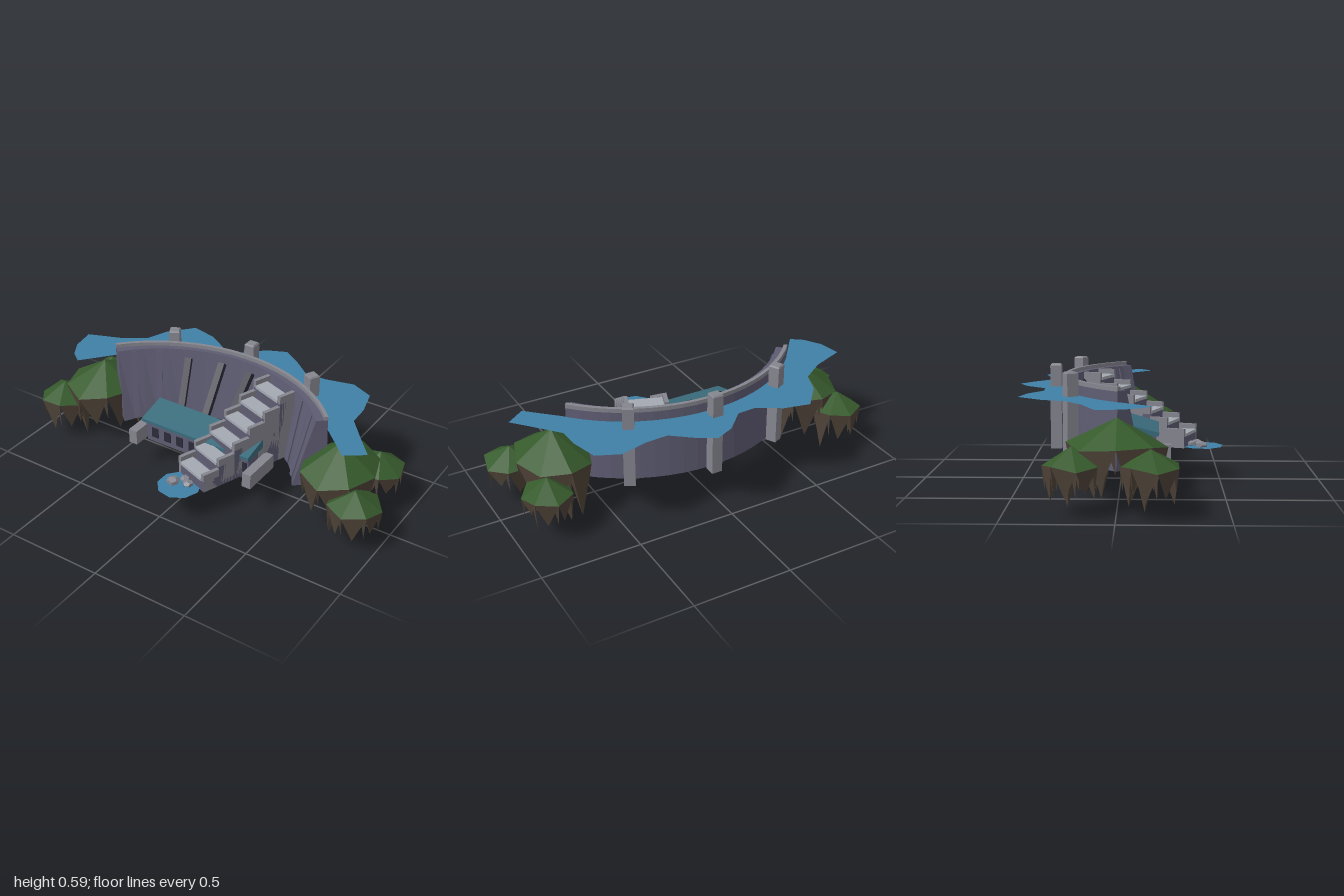
import * as THREE from 'three';

const CZ = 0.565, BASE = 0.157, END = 0.84; // arc centre z, base height, half angle
const mat = (color, side = THREE.FrontSide) =>
  new THREE.MeshStandardMaterial({ color, side, flatShading: true });
const M = {
  wall: mat(0x5e5c72), stone: mat(0x85858f), tread: mat(0xa4a9b2), dark: mat(0x2c2c3a),
  roof: mat(0x3a6c7c), grass: mat(0x365a2c, THREE.DoubleSide), rock: mat(0x4f4338, THREE.DoubleSide),
  water: mat(0x3f80a6, THREE.DoubleSide),
};

function add(parent, name, geo, material, x = 0, y = 0, z = 0) {
  const mesh = new THREE.Mesh(geo, material);
  mesh.name = name;
  mesh.position.set(x, y, z);
  parent.add(mesh);
  return mesh;
}
// Box given by its minimum and maximum corners
function block(parent, name, material, x0, x1, y0, y1, z0, z1) {
  return add(parent, name, new THREE.BoxGeometry(x1 - x0, y1 - y0, z1 - z0), material,
    (x0 + x1) / 2, (y0 + y1) / 2, (z0 + z1) / 2);
}
const polar = (a, r, y) => new THREE.Vector3(r * Math.sin(a), y, CZ - r * Math.cos(a));

function soup(points) {
  const g = new THREE.BufferGeometry().setFromPoints(points);
  g.computeVertexNormals();
  return g;
}
// Sweeps a four-corner (radius, height) profile around the arc, with closed ends
function arcSweep(profile, n = 20) {
  const rings = [], pts = [];
  for (let i = 0; i <= n; i++) {
    const t = (i / n) * 2 - 1;
    rings.push(profile(t * t).map(([r, y]) => polar(t * END, r, y)));
  }
  const quad = (a, b, c, d) => pts.push(a, b, c, a, c, d);
  for (let i = 0; i < n; i++) for (let k = 0; k < 4; k++) {
    const l = (k + 1) % 4;
    quad(rings[i][k], rings[i][l], rings[i + 1][l], rings[i + 1][k]);
  }
  quad(...[...rings[0]].reverse());
  quad(...rings[n]);
  return soup(pts);
}
// Square bar between two points
function bar(parent, name, material, from, to, w, d) {
  const mesh = add(parent, name, new THREE.BoxGeometry(w, d, from.distanceTo(to)), material);
  mesh.position.copy(from).add(to).multiplyScalar(0.5);
  mesh.lookAt(to);
}

// Floating island: faceted grass cap, broad rock spikes below each rim edge, one of them deepest
function island(parent, x, z, rx, rz, rimY, topY, tipY, n, turn, deepest) {
  const g = new THREE.Group();
  g.name = 'floatingIsland';
  g.position.set(x, 0, z);
  parent.add(g);
  const rim = [];
  for (let i = 0; i < n; i++) {
    const a = turn + (i / n) * Math.PI * 2;
    rim.push(new THREE.Vector3(rx * Math.cos(a), rimY + 0.012 * Math.sin(i * 2.3), rz * Math.sin(a)));
  }
  const apex = new THREE.Vector3(0, topY, 0), cap = [], rock = [];
  const spike = (a, b, c, tip) => rock.push(a, b, tip, b, c, tip, c, a, tip);
  for (let i = 0; i < n; i++) {
    const a = rim[i], b = rim[(i + 1) % n];
    cap.push(apex, b, a);
    const mid = a.clone().lerp(b, 0.5);
    const inner = new THREE.Vector3(mid.x * 0.3, rimY + 0.02, mid.z * 0.3);
    const drop = i === deepest ? 0 : [0.06, 0.1, 0.08][i % 3];
    const out = i === deepest ? 0.95 : 0.85;
    spike(a, b, inner, new THREE.Vector3(mid.x * out, tipY + drop, mid.z * out));
    // slim spike near the rim corner
    const p = a.clone().lerp(b, 0.22).multiply(new THREE.Vector3(0.97, 1, 0.97));
    const q = a.clone().lerp(inner, 0.25);
    spike(a, p, q, new THREE.Vector3(a.x * 0.9, rimY - 0.11 - 0.02 * (i % 2), a.z * 0.9));
  }
  add(g, 'grassCap', soup(cap), M.grass);
  add(g, 'rockSpikes', soup(rock), M.rock);
}

function stairs(parent) {
  const g = new THREE.Group();
  g.name = 'stairs';
  g.position.set(0.089, 0, 0.354);
  g.rotation.y = -0.35;
  parent.add(g);
  const run = 0.0915, w = 0.105;
  for (let i = 0; i < 6; i++) {
    const top = 0.255 + i * 0.054, z1 = -i * run, z0 = z1 - run;
    block(g, 'step', M.wall, -w, w, BASE, top - 0.04, z0, z1);
    block(g, 'tread', M.tread, -w + 0.02, w - 0.02, top - 0.04, top - 0.025, z0 + 0.02, z1 + 0.004);
    for (const s of [-1, 1]) {
      const x = s * (w - 0.01);
      block(g, 'stringer', M.stone, x - 0.01, x + 0.01, BASE, top, z0, z1);
    }
  }
}

// Open-backed hall under a sloped roof
function powerhouse(parent) {
  const g = new THREE.Group();
  g.name = 'powerhouse';
  parent.add(g);
  block(g, 'frontWall', M.wall, -0.31, 0.3, BASE, 0.275, 0.15, 0.17);
  block(g, 'cornice', M.wall, -0.31, 0.3, 0.248, 0.275, 0.15, 0.178);
  for (const x of [-0.3, 0.29])
    block(g, 'endWall', M.wall, x - 0.01, x + 0.01, BASE, 0.275, 0.05, 0.15);
  const s = new THREE.Shape([[0.03, 0.27], [0.19, 0.27], [0.19, 0.287], [0.03, 0.328]]
    .map(([z, y]) => new THREE.Vector2(-z, y)));
  const roof = new THREE.ExtrudeGeometry(s, { depth: 0.64, bevelEnabled: false });
  add(g, 'roof', roof.rotateY(Math.PI / 2), M.roof, -0.33);
  for (let x = -0.26; x < 0.28; x += 0.076)
    block(g, 'window', M.dark, x - 0.02, x + 0.02, 0.185, 0.24, 0.146, 0.174);
  for (const x of [-0.348, 0.335])
    block(g, 'sideWall', M.stone, x - 0.024, x + 0.024, BASE, 0.235, 0.03, 0.245);
}

export function createModel() {
  const root = new THREE.Group();
  root.name = 'dam';

  // Curved wall, thicker towards the base and the ends, with a curb along the crest
  add(root, 'damWall', arcSweep((e) => [
    [0.855, BASE], [0.845, 0.522], [0.805 - 0.017 * e, 0.522], [0.765 - 0.08 * e, BASE]]), M.wall);
  add(root, 'crestCurb', arcSweep(() => [
    [0.847, 0.52], [0.847, 0.541], [0.828, 0.541], [0.828, 0.52]]), M.stone);

  // Rear pillars
  for (const a of [-0.48, 0, 0.48]) {
    const p = add(root, 'pillar', new THREE.BoxGeometry(0.056, 0.422, 0.056), M.stone);
    p.position.copy(polar(a, 0.892, BASE + 0.211));
    p.rotation.y = -a;
    const c = add(root, 'pillarCap', new THREE.CylinderGeometry(0.032, 0.0396, 0.008, 4), M.stone);
    c.position.copy(polar(a, 0.892, 0.582));
    c.rotation.y = Math.PI / 4 - a;
  }

  // Ribs on the front face and leaning struts
  for (const s of [-1, 1]) for (const a of [0.57, 0.74]) {
    const e = (a / END) ** 2;
    bar(root, 'rib', M.wall, polar(s * a, 0.81 - 0.017 * e, 0.51),
      polar(s * a, 0.772 - 0.08 * e, BASE + 0.008), 0.03, 0.03);
  }
  for (const [x0, x1] of [[-0.275, -0.2], [-0.1, -0.07], [0.07, 0.055]])
    bar(root, 'strut', M.dark, new THREE.Vector3(x0, 0.49, x0 < -0.2 ? -0.155 : -0.205),
      new THREE.Vector3(x1, 0.2, 0.05), 0.034, 0.034);

  powerhouse(root);
  stairs(root);

  // Reservoir sheet behind the wall
  const shore = [[-0.76, 0.16], [-0.82, 0.115], [-0.87, 0.03], [-0.89, -0.09], [-0.72, -0.155],
    [-0.6, -0.235], [-0.555, -0.35], [-0.45, -0.47], [-0.315, -0.44], [-0.2, -0.37], [-0.1, -0.375],
    [0, -0.475], [0.1, -0.52], [0.19, -0.465], [0.29, -0.385], [0.405, -0.39], [0.545, -0.425],
    [0.66, -0.375], [0.695, -0.24], [0.7, -0.13], [0.81, 0], [0.885, 0.085], [0.79, 0.155]];
  for (let i = 0; i <= 16; i++) {
    const p = polar(END * (1 - i / 8), 0.844, 0);
    shore.push([p.x, p.z]);
  }
  const lake = new THREE.ShapeGeometry(new THREE.Shape(shore.map(([x, z]) => new THREE.Vector2(x, -z))));
  add(root, 'reservoir', lake.rotateX(-Math.PI / 2), M.water, 0, 0.472, 0);

  // Pool with boulders at the foot of the stairs
  add(root, 'pool', new THREE.CircleGeometry(0.11, 9).rotateX(-Math.PI / 2), M.water, 0.057, 0.162, 0.41);
  for (const [x, z, r] of [[0.02, 0.408, 0.034], [0.093, 0.388, 0.028], [0.06, 0.362, 0.025]]) {
    const b = add(root, 'boulder', new THREE.DodecahedronGeometry(r), M.stone, x, 0.172, z);
    b.scale.y = 0.6;
    b.rotation.y = x * 20;
  }

  // Islands at the left end, then the right end
  island(root, 0.71, 0, 0.185, 0.228, 0.295, 0.43, 0.02, 8, 0, 5);
  island(root, 0.87, 0.15, 0.133, 0.135, 0.225, 0.302, 0.03, 7, Math.PI / 2, 1);
  island(root, 0.825, -0.195, 0.125, 0.13, 0.22, 0.305, 0.04, 7, -Math.PI / 2, 5);
  island(root, -0.71, 0, 0.19, 0.228, 0.295, 0.415, 0.015, 8, 0, 7);
  island(root, -0.87, 0.15, 0.133, 0.135, 0.225, 0.302, 0, 7, -Math.PI / 2, 1);
  island(root, -0.825, -0.195, 0.125, 0.13, 0.22, 0.305, 0.01, 7, -Math.PI / 2, 1);
  return root;
}
